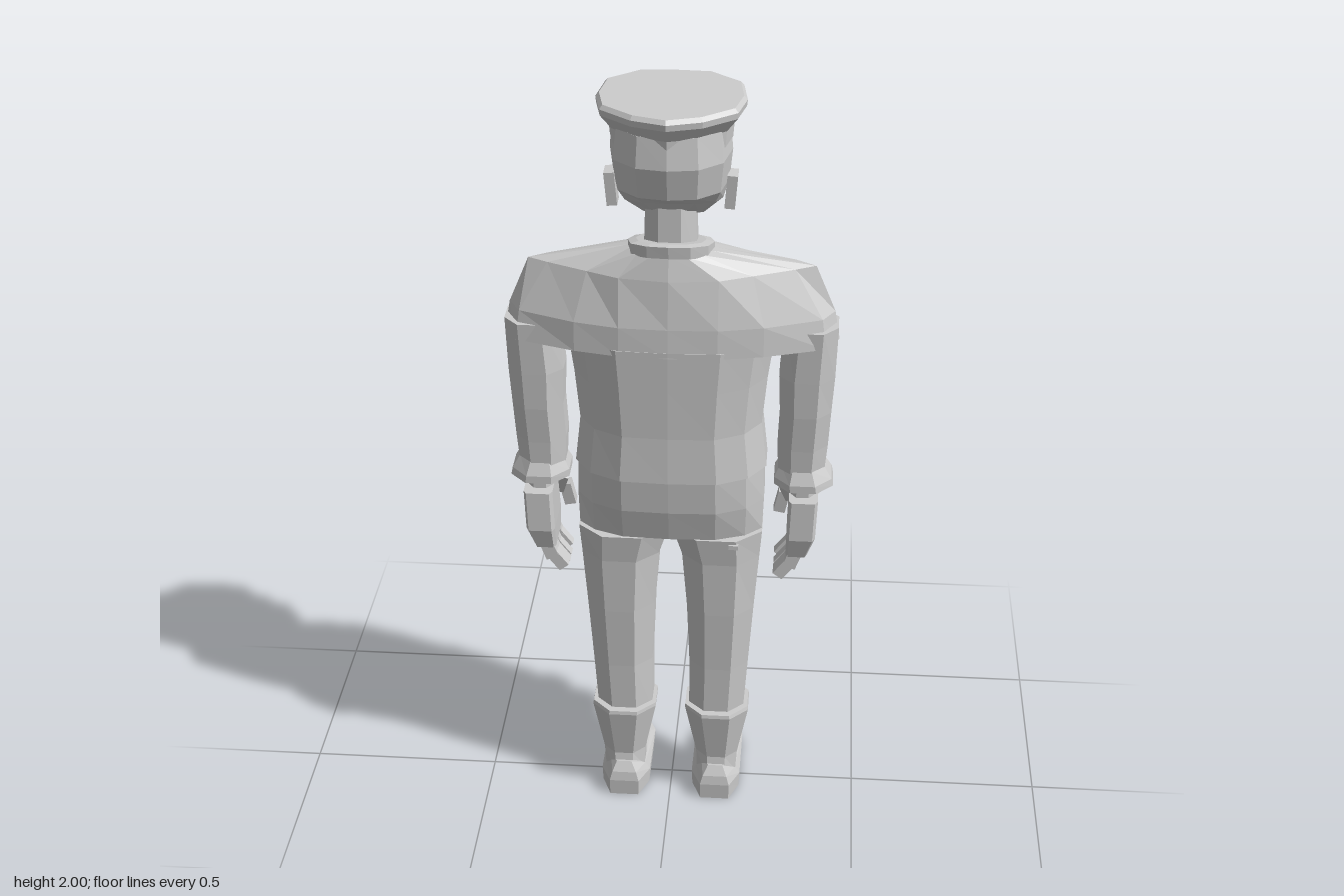
import * as THREE from 'three';

const grey = new THREE.MeshStandardMaterial({ color: 0xcccccc, flatShading: true });
grey.name = 'plain grey';

// Closed solid through rings of [x, y, z] points, lowest ring first, clockwise from above.
function loft(name, rings, side = 1) {
  const rs = rings.map(r => {
    const pts = r.map(p => new THREE.Vector3(p[0] * side, p[1], p[2]));
    return side < 0 ? pts.reverse() : pts;
  });
  const out = [];
  const tri = (...v) => v.forEach(p => out.push(p.x, p.y, p.z));
  const n = rs[0].length;
  const centre = r => r.reduce((s, p) => s.add(p), new THREE.Vector3()).divideScalar(n);
  const low = rs[0], top = rs[rs.length - 1], cl = centre(low), ct = centre(top);
  for (let i = 0; i < n; i++) {
    const j = (i + 1) % n;
    for (let k = 0; k < rs.length - 1; k++) {
      tri(rs[k][i], rs[k + 1][i], rs[k + 1][j]);
      tri(rs[k][i], rs[k + 1][j], rs[k][j]);
    }
    tri(cl, low[i], low[j]);
    tri(ct, top[j], top[i]);
  }
  const g = new THREE.BufferGeometry();
  g.setAttribute('position', new THREE.Float32BufferAttribute(out, 3));
  g.computeVertexNormals();
  const m = new THREE.Mesh(g, grey);
  m.name = name;
  return m;
}

// Chamfered rectangle ring; slope tilts it along z.
function oct(y, x0, x1, z0, z1, k = 0.28, slope = 0) {
  const a = (x1 - x0) * k, b = (z1 - z0) * k;
  return [[x0 + a, z0], [x1 - a, z0], [x1, z0 + b], [x1, z1 - b],
    [x1 - a, z1], [x0 + a, z1], [x0, z1 - b], [x0, z0 + b]]
    .map(([x, z]) => [x, y + slope * z, z]);
}

// Ring mirrored from a half outline running from -z round +x to +z.
function sym(y, half, slope = 0) {
  const mirror = half.slice(1, -1).reverse().map(([x, z]) => [-x, z]);
  return [...half, ...mirror].map(([x, z]) => [x, y + slope * z, z]);
}

// Rounded half outline for the head and collar.
function oval(w, zf, zb) {
  const c = (zf + zb) / 2, f = zf - c, b = zb - c;
  return [[0, zf], [w * 0.52, c + f * 0.9], [w * 0.88, c + f * 0.55], [w, c],
    [w * 0.88, c + b * 0.6], [w * 0.5, c + b * 0.92], [0, zb]];
}

function box(name, w, h, d, x, y, z, rx = 0, rz = 0) {
  const m = new THREE.Mesh(new THREE.BoxGeometry(w, h, d), grey);
  m.name = name;
  m.position.set(x, y, z);
  m.rotation.set(rx, 0, rz);
  return m;
}

function makeHead() {
  const g = new THREE.Group();
  g.name = 'head';
  g.add(loft('skull', [
    sym(1.695, oval(0.075, -0.115, 0.07), 0.4),
    sym(1.735, oval(0.122, -0.128, 0.12), 0.25),
    sym(1.79, oval(0.137, -0.132, 0.16)),
    sym(1.87, oval(0.145, -0.13, 0.18)),
    sym(1.945, oval(0.138, -0.122, 0.17))]));

  // Cap with a flared crown
  const crown = [[0, -0.14], [0.085, -0.135], [0.16, -0.07], [0.172, 0.025], [0.155, 0.11], [0.08, 0.173], [0, 0.2]];
  const scaled = s => crown.map(([x, z]) => [x * s, 0.025 + (z - 0.025) * s]);
  g.add(loft('cap', [sym(1.9, scaled(0.84)), sym(1.94, scaled(0.86)),
    sym(1.975, scaled(1.02)), sym(1.99, scaled(1.03)), sym(2, scaled(0.98))]));

  // Face
  const nose = new THREE.Mesh(new THREE.ConeGeometry(0.024, 0.075, 4), grey);
  nose.name = 'nose';
  nose.position.set(0, 1.785, -0.137);
  g.add(nose);
  g.add(box('mouth', 0.07, 0.012, 0.02, 0, 1.697, -0.117));
  g.add(box('chin', 0.06, 0.035, 0.03, 0, 1.668, -0.108, 0.3));
  for (const s of [1, -1]) {
    g.add(box('brow', 0.06, 0.015, 0.025, s * 0.05, 1.852, -0.122, 0, s * 0.15));
    g.add(box('eye', 0.04, 0.014, 0.012, s * 0.05, 1.825, -0.122));
    g.add(box('moustache', 0.06, 0.02, 0.03, s * 0.03, 1.73, -0.124, 0, -s * 0.25));
    g.add(box('ear', 0.025, 0.085, 0.045, s * 0.143, 1.77, 0.03, 0.05, -s * 0.08));
  }
  return g;
}

function makeArm(s) {
  const g = new THREE.Group();
  g.name = s > 0 ? 'leftArm' : 'rightArm';
  g.add(loft('sleeve', [
    oct(1.0, 0.272, 0.388, -0.065, 0.06),
    oct(1.08, 0.268, 0.395, -0.075, 0.065),
    oct(1.18, 0.272, 0.4, -0.065, 0.075),
    oct(1.28, 0.268, 0.406, -0.065, 0.08),
    oct(1.42, 0.28, 0.41, -0.06, 0.085)], s));
  g.add(loft('cuff', [oct(0.965, 0.262, 0.412, -0.085, 0.075),
    oct(0.985, 0.262, 0.408, -0.085, 0.075), oct(1.02, 0.278, 0.388, -0.065, 0.06)], s));
  g.add(loft('wrist', [oct(0.92, 0.3, 0.372, -0.045, 0.055), oct(0.98, 0.3, 0.372, -0.045, 0.055)], s));
  g.add(loft('palm', [oct(0.77, 0.298, 0.352, -0.06, 0.07, 0.1),
    oct(0.83, 0.298, 0.372, -0.068, 0.088, 0.1),
    oct(0.94, 0.302, 0.376, -0.05, 0.085, 0.1)], s));
  for (let i = 0; i < 4; i++) {
    const z = 0.055 - i * 0.034, drop = i === 1 || i === 2 ? 0.01 : 0;
    g.add(box('fingerBase', 0.034, 0.06, 0.029, s * 0.317, 0.765 - drop, z, 0, -s * 0.35));
    g.add(box('fingerTip', 0.03, 0.05, 0.027, s * 0.293, 0.728 - drop, z, 0, -s * 0.65));
  }
  g.add(box('thumbBase', 0.035, 0.075, 0.045, s * 0.3, 0.9, -0.07, 0.5, s * 0.25));
  g.add(box('thumbTip', 0.03, 0.065, 0.03, s * 0.282, 0.845, -0.093, 0.1, -s * 0.2));
  return g;
}

function makeLeg(s) {
  const g = new THREE.Group();
  g.name = s > 0 ? 'leftLeg' : 'rightLeg';
  g.add(loft('trouserLeg', [
    oct(0.25, 0.05, 0.195, -0.05, 0.09),
    oct(0.42, 0.05, 0.206, -0.06, 0.095),
    oct(0.6, 0.043, 0.218, -0.07, 0.105),
    oct(0.76, 0.03, 0.23, -0.078, 0.11),
    oct(0.84, 0.005, 0.236, -0.085, 0.12)], s));
  g.add(loft('boot', [
    oct(0.06, 0.072, 0.178, -0.04, 0.095),
    oct(0.12, 0.07, 0.182, -0.03, 0.085),
    oct(0.27, 0.04, 0.21, -0.06, 0.112),
    oct(0.28, 0.04, 0.208, -0.06, 0.11)], s));
  g.add(loft('shoe', [
    oct(0, 0.06, 0.188, -0.203, 0.113, 0.2),
    oct(0.04, 0.058, 0.19, -0.205, 0.115, 0.2, 0.06),
    oct(0.062, 0.07, 0.178, -0.17, 0.11, 0.2, 0.1),
    oct(0.09, 0.085, 0.165, -0.04, 0.095, 0.25, 0.1)], s));
  return g;
}

// Small sidearm strapped to the thigh
function makeHolster() {
  const g = new THREE.Group();
  g.name = 'sidearm';
  g.add(box('barrel', 0.03, 0.16, 0.035, 0.175, 0.69, -0.055));
  g.add(box('muzzle', 0.04, 0.04, 0.05, 0.175, 0.63, -0.04));
  g.add(box('frame', 0.045, 0.11, 0.05, 0.17, 0.79, -0.078));
  g.add(box('grip', 0.04, 0.1, 0.04, 0.168, 0.865, -0.09, 0.35));
  g.add(box('hammer', 0.02, 0.03, 0.03, 0.168, 0.83, -0.11, 0.4));
  for (const y of [0.66, 0.72, 0.76]) g.add(box('strap', 0.055, 0.014, 0.06, 0.17, y, -0.06, 0.2));
  g.add(box('stud', 0.025, 0.012, 0.02, 0.165, 0.825, 0.115));
  return g;
}

export function createModel() {
  const model = new THREE.Group();
  model.name = 'figure';

  // Jacket body below the armpits
  const body = (w, zf, zb) => [[0, zf], [w * 0.48, zf + 0.008], [w * 0.8, zf * 0.62], [w, -0.04],
    [w, 0.045], [w * 0.82, zb * 0.72], [w * 0.5, zb - 0.005], [0, zb]];
  model.add(loft('jacketBody', [
    sym(1.025, body(0.242, -0.125, 0.155)),
    sym(1.15, body(0.228, -0.132, 0.15)),
    sym(1.28, body(0.24, -0.142, 0.152)),
    sym(1.39, body(0.255, -0.147, 0.154))]));

  // Broad shoulder yoke tapering to the neck
  model.add(loft('shoulders', [
    sym(1.375, [[0, -0.147], [0.11, -0.14], [0.23, -0.105], [0.38, -0.05], [0.413, 0.012], [0.38, 0.075], [0.23, 0.125], [0.12, 0.148], [0, 0.154]]),
    sym(1.45, [[0, -0.145], [0.11, -0.137], [0.23, -0.1], [0.37, -0.045], [0.4, 0.012], [0.37, 0.065], [0.23, 0.12], [0.12, 0.145], [0, 0.15]]),
    sym(1.57, [[0, -0.085], [0.1, -0.08], [0.2, -0.055], [0.3, -0.018], [0.35, 0.014], [0.3, 0.04], [0.2, 0.085], [0.12, 0.12], [0, 0.135]]),
    sym(1.615, [[0, -0.06], [0.04, -0.055], [0.075, -0.035], [0.1, 0], [0.105, 0.03], [0.1, 0.06], [0.075, 0.095], [0.04, 0.115], [0, 0.12]], 0.12)]));

  // Collar and neck
  model.add(loft('collar', [sym(1.595, oval(0.105, -0.068, 0.125), 0.25),
    sym(1.625, oval(0.105, -0.072, 0.128), 0.25), sym(1.63, oval(0.085, -0.055, 0.11), 0.25)]));
  model.add(loft('neck', [oct(1.58, -0.065, 0.065, -0.035, 0.09), oct(1.75, -0.06, 0.06, -0.035, 0.085)]));

  // Hips
  model.add(loft('hips', [
    sym(0.81, [[0, -0.03], [0.015, -0.045], [0.03, -0.04], [0.04, 0], [0.04, 0.03], [0.03, 0.06], [0.015, 0.06], [0, 0.06]]),
    sym(0.84, body(0.235, -0.082, 0.118)),
    sym(0.93, body(0.238, -0.1, 0.14)),
    sym(1.03, body(0.235, -0.118, 0.148))]));

  model.add(makeHead(), makeHolster());
  for (const s of [1, -1]) model.add(makeArm(s), makeLeg(s));
  return model;
}
